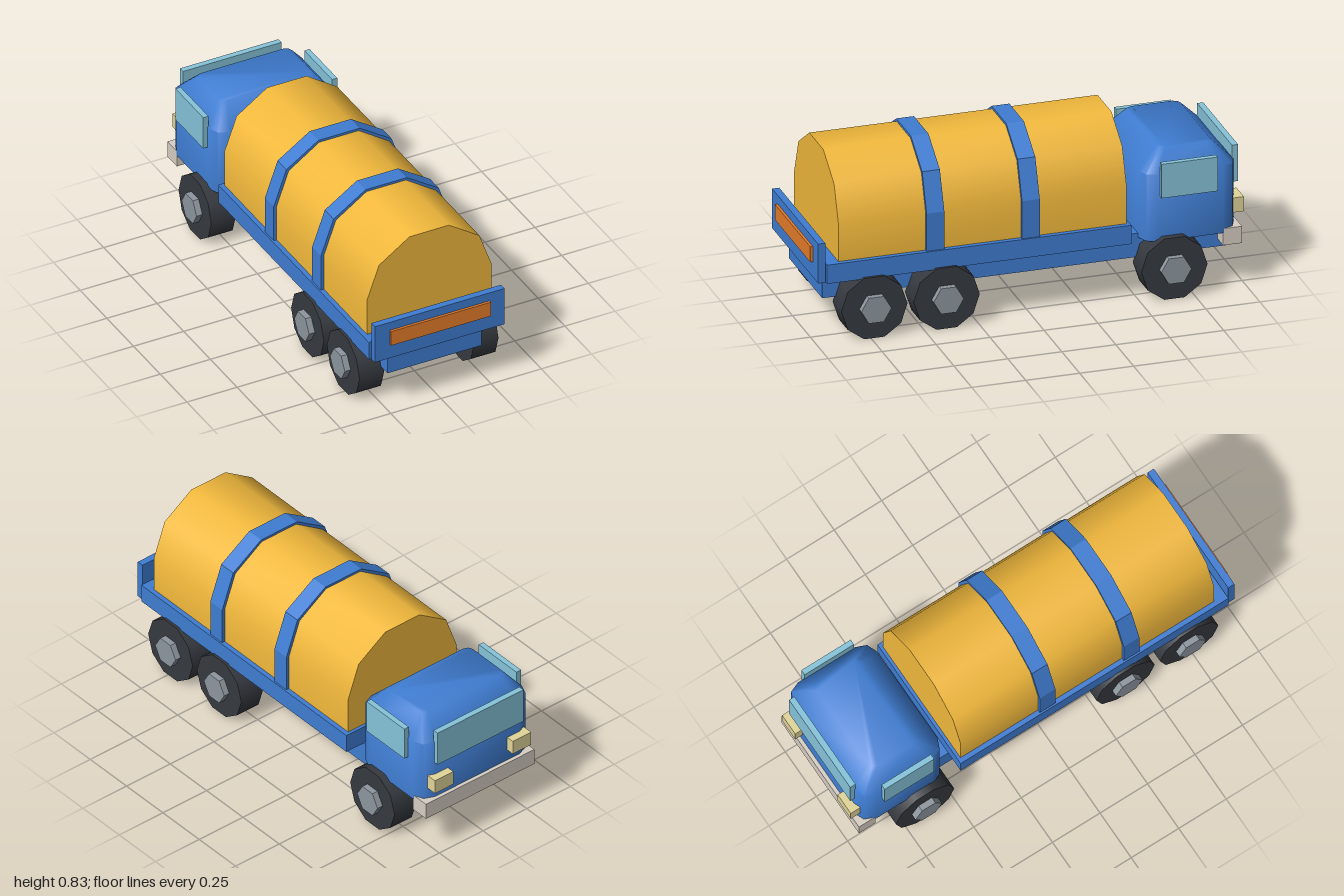
import * as THREE from 'three';
import { toCreasedNormals } from 'three/addons/utils/BufferGeometryUtils.js';

const paint = (color, flatShading = false) => new THREE.MeshStandardMaterial({ color, flatShading });
const blue = paint(0x3f7dd2);
const blueFlat = paint(0x3f7dd2, true);
const yellow = paint(0xf2b93c);
const orange = paint(0xe87d2a);
const rubber = paint(0x363a40);
const metal = paint(0x8d979f, true);
const glass = paint(0x86c4da);
const chrome = paint(0xd8cfc4);
const lamp = paint(0xe2d59a);

// Tank arch: straight sides below a faceted top, widened by g
function archShape(g) {
  const half = [[0.31 + g, 0.37], [0.31 + g, 0.56], [0.25 + g * 0.8, 0.727 + g * 0.6], [0.098 + g * 0.3, 0.83 + g * 0.75]];
  const mirrored = half.map(([x, y]) => [-x, y]).reverse();
  return new THREE.Shape([...half, ...mirrored].map(([x, y]) => new THREE.Vector2(x, y)));
}

function archGeometry(g, z0, z1) {
  const geo = new THREE.ExtrudeGeometry(archShape(g), { depth: z1 - z0, bevelEnabled: false });
  return geo.translate(0, 0, z0);
}

// Rounded rectangle loop in plan at height y
function planLoop(y, hx, z0, z1, r, segments = 2) {
  const pts = [];
  const zc = (z0 + z1) / 2, hz = (z1 - z0) / 2;
  [[1, 1], [-1, 1], [-1, -1], [1, -1]].forEach(([sx, sz], c) => {
    for (let i = 0; i <= segments; i++) {
      const a = (c + i / segments) * Math.PI / 2;
      pts.push([sx * (hx - r) + r * Math.cos(a), y, zc + sz * (hz - r) + r * Math.sin(a)]);
    }
  });
  return pts;
}

// Stacked loops, capped at both ends
function loftGeometry(loops) {
  const n = loops[0].length, pos = loops.flat(2), index = [];
  for (let k = 0; k < loops.length - 1; k++) {
    for (let i = 0; i < n; i++) {
      const a = k * n + i, b = k * n + (i + 1) % n;
      index.push(a, a + n, b, b, a + n, b + n);
    }
  }
  const top = (loops.length - 1) * n;
  for (let i = 1; i < n - 1; i++) {
    index.push(0, i, i + 1);
    index.push(top, top + i + 1, top + i);
  }
  const geo = new THREE.BufferGeometry();
  geo.setAttribute('position', new THREE.Float32BufferAttribute(pos, 3));
  geo.setIndex(index);
  return toCreasedNormals(geo, 0.9);
}

export function createModel() {
  const model = new THREE.Group();
  model.name = 'tankTruck';

  function add(name, geometry, material, parent = model) {
    const mesh = new THREE.Mesh(geometry, material);
    mesh.name = name;
    parent.add(mesh);
    return mesh;
  }
  // Box given by its limits on each axis
  function box(name, material, [x0, x1], [y0, y1], [z0, z1]) {
    const geo = new THREE.BoxGeometry(x1 - x0, y1 - y0, z1 - z0);
    geo.translate((x0 + x1) / 2, (y0 + y1) / 2, (z0 + z1) / 2);
    return add(name, geo, material);
  }

  // Frame, bed and tailboard
  box('chassis', blue, [-0.235, 0.235], [0.18, 0.293], [-0.94, 0.94]);
  box('bed', blue, [-0.333, 0.333], [0.29, 0.38], [-0.46, 0.95]);
  box('tailboard', blue, [-0.323, 0.323], [0.293, 0.482], [0.955, 0.988]);
  box('tailLight', orange, [-0.248, 0.248], [0.366, 0.44], [0.985, 1.0]);

  // Tank and its straps
  add('tank', toCreasedNormals(archGeometry(0, -0.445, 0.89), 0.75), yellow);
  for (const z of [0.003, 0.445]) add('tankStrap', archGeometry(0.015, z - 0.041, z + 0.041), blueFlat);

  // Cab with rounded corners and a chamfered roof
  add('cab', loftGeometry([
    planLoop(0.275, 0.312, -0.962, -0.522, 0.07),
    planLoop(0.595, 0.312, -0.962, -0.522, 0.07),
    planLoop(0.692, 0.235, -0.865, -0.618, 0.03),
  ]), blue);
  box('windshield', glass, [-0.245, 0.245], [0.485, 0.66], [-0.983, -0.955]);
  box('bumper', chrome, [-0.31, 0.31], [0.215, 0.295], [-0.98, -0.892]);
  for (const s of [-1, 1]) {
    const span = (a, b) => (s > 0 ? [a, b] : [-b, -a]);
    box('sideWindow', glass, span(0.308, 0.334), [0.49, 0.653], [-0.86, -0.6]);
    box('headlight', lamp, span(0.17, 0.275), [0.35, 0.42], [-1.0, -0.95]);
  }

  // Wheels: ten-sided tyres with hexagonal hubs
  const tyreGeo = new THREE.CylinderGeometry(0.153, 0.153, 0.122, 10).rotateY(Math.PI / 2).rotateZ(Math.PI / 2);
  tyreGeo.rotateX(Math.PI / 2);
  const hubGeo = new THREE.CylinderGeometry(0.07, 0.07, 0.08, 6).rotateZ(Math.PI / 2);
  for (const z of [0.735, 0.4, -0.655]) {
    for (const s of [-1, 1]) {
      const wheel = new THREE.Group();
      wheel.name = 'wheel';
      wheel.position.set(s * 0.285, 0.153, z);
      add('tyre', tyreGeo, rubber, wheel);
      add('hub', hubGeo, metal, wheel).position.x = s * 0.05;
      model.add(wheel);
    }
  }
  return model;
}
